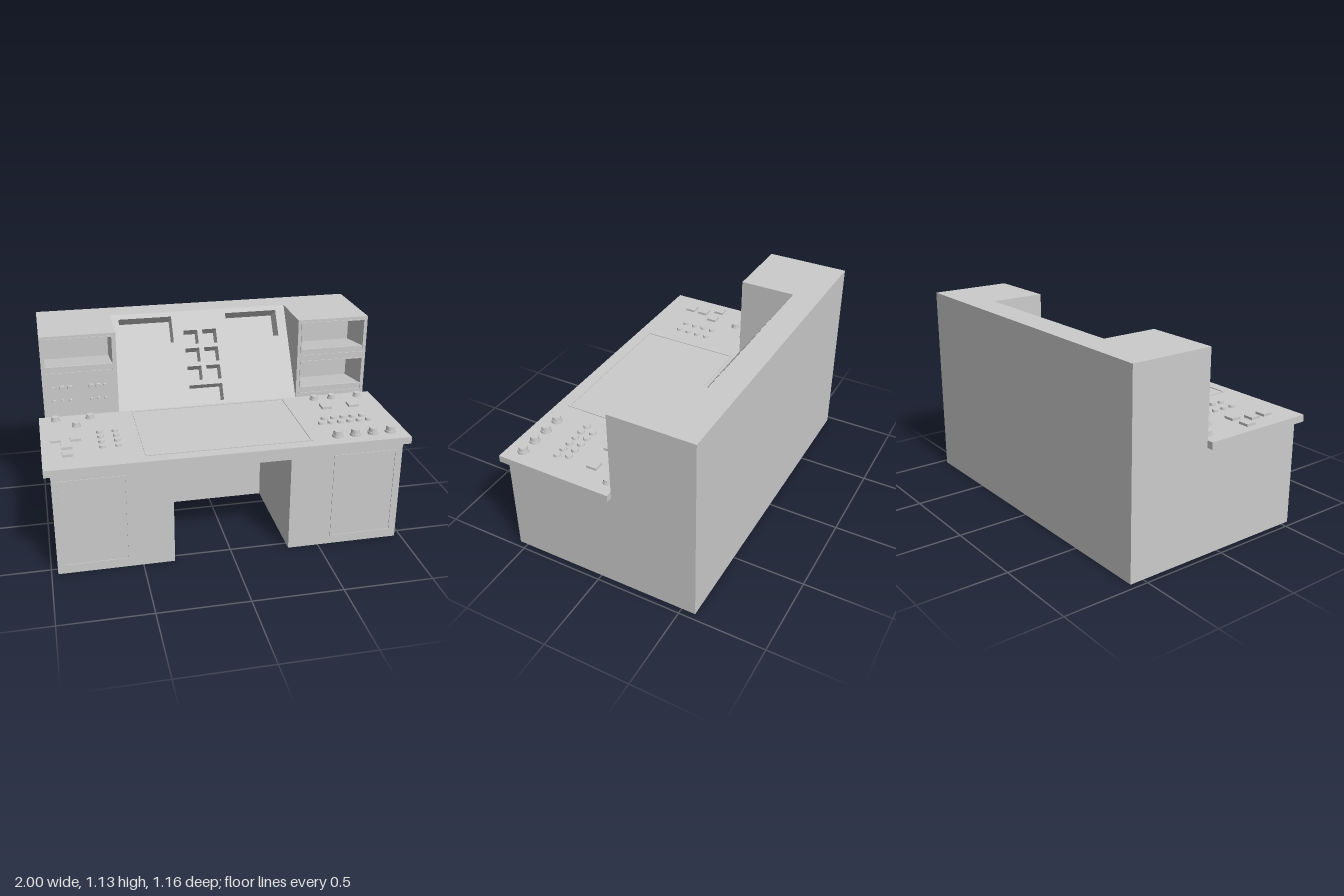
import * as THREE from 'three';

const grey = new THREE.MeshStandardMaterial({ color: 0xcccccc, flatShading: true });
const greyOpen = new THREE.MeshStandardMaterial({ color: 0xcccccc, flatShading: true, side: THREE.DoubleSide });

function add(parent, name, geo, mat = grey) {
  const m = new THREE.Mesh(geo, mat);
  m.name = name;
  parent.add(m);
  return m;
}

// Box given by its limits on each axis
function block(parent, name, x0, x1, y0, y1, z0, z1) {
  const m = add(parent, name, new THREE.BoxGeometry(x1 - x0, y1 - y0, z1 - z0));
  m.position.set((x0 + x1) / 2, (y0 + y1) / 2, (z0 + z1) / 2);
  return m;
}

function polygon(pts) {
  return new THREE.Shape(pts.map(([x, y]) => new THREE.Vector2(x, y)));
}

// Rectangle [x0, x1, y0, y1] with rectangular holes
function plate(rect, holes, depth) {
  const corners = ([x0, x1, y0, y1]) => [[x0, y0], [x1, y0], [x1, y1], [x0, y1]];
  const s = polygon(corners(rect));
  s.holes = holes.map(h => polygon(corners(h).reverse()));
  return new THREE.ExtrudeGeometry(s, { depth, bevelEnabled: false });
}

// Thin raised border around a rectangle
function border([x0, x1, y0, y1], w, depth) {
  return plate([x0, x1, y0, y1], [[x0 + w, x1 - w, y0 + w, y1 - w]], depth);
}

// Footprint outline in (x, z), raised by height
function footprint(pts, height) {
  const g = new THREE.ExtrudeGeometry(polygon(pts.map(([x, z]) => [x, -z])), { depth: height, bevelEnabled: false });
  return g.rotateX(-Math.PI / 2);
}

// Box open at the front, its back lowered by drop
function recess(parent, name, [x0, x1, y0, y1], depth, drop = 0) {
  const g = new THREE.BoxGeometry(x1 - x0, y1 - y0, depth);
  const idx = Array.from(g.index.array);
  idx.splice(24, 6);
  g.setIndex(idx);
  g.clearGroups();
  g.translate((x0 + x1) / 2, (y0 + y1) / 2, -depth / 2);
  const p = g.attributes.position;
  for (let i = 0; i < p.count; i++) if (p.getZ(i) < -depth / 2) p.setY(i, p.getY(i) - drop);
  g.computeVertexNormals();
  return add(parent, name, g, greyOpen);
}

const W = 0.965, BACK = -0.58, FRONT = 0.55, FACE = -0.095, TOP = 1.13;
const DESK0 = 0.605, DESK = 0.645, IN = 0.537;

function buildBase(root) {
  const g = new THREE.Group();
  g.name = 'base';
  root.add(g);
  // Two pedestals joined behind the kneehole
  add(g, 'pedestals', footprint([[-W, FRONT], [-0.325, FRONT], [-0.325, -0.1], [0.325, -0.1],
    [0.325, FRONT], [W, FRONT], [W, BACK], [-W, BACK]], 0.56));
  block(g, 'upperRail', -W, W, 0.56, DESK0, BACK, FRONT);
  for (const s of [-1, 1]) {
    const x = s * 0.752;
    add(g, 'doorBorder', border([x - 0.183, x + 0.183, 0.043, 0.562], 0.012, 0.004)).position.z = FRONT;
  }
}

function buildTower(root, side) {
  const g = new THREE.Group();
  g.name = side < 0 ? 'rightTower' : 'leftTower';
  root.add(g);
  const lo = side < 0 ? -W : IN, hi = side < 0 ? -IN : W;
  const x0 = side * 0.752 - 0.19, x1 = side * 0.752 + 0.19;
  const bays = side < 0 ? [0.912] : [0.912, 0.672];
  const opening = y => [x0, x1, y + 0.036, y + 0.197];
  add(g, 'towerFace', plate([lo, hi, DESK0, TOP], bays.map(opening), 0.01)).position.z = FACE - 0.01;
  for (const y of bays) {
    recess(g, 'bay', opening(y), 0.26, 0.042).position.z = FACE;
    add(g, 'bayBorder', border([x0 - 0.006, x1 + 0.006, y - 0.006, y + 0.203], 0.006, 0.005)).position.z = FACE;
  }
  // Outer and inner walls
  const wall = (name, x) => block(g, name, x - 0.005, x + 0.005, DESK0, TOP, BACK, FACE);
  wall('outerWall', side * (W - 0.005));
  wall('innerWall', side * (IN + 0.005));
}

function buildSlope(root) {
  const rise = TOP - DESK, run = 0.32, angle = Math.atan2(run, rise), c = Math.cos(angle);
  const g = new THREE.Group();
  g.name = 'slopedPanel';
  g.position.set(0, DESK, -0.1);
  g.rotation.x = -angle;
  root.add(g);
  const onSlope = (x0, x1, y0, y1) => [x0, x1, (y0 - DESK) / c, (y1 - DESK) / c];
  const windows = [onSlope(-0.487, -0.17, 0.97, 1.105), onSlope(0.163, 0.48, 0.97, 1.105)];
  const slots = [onSlope(-0.105, 0.095, 0.66, 0.745)];
  for (const y of [0.77, 0.863, 0.956])
    for (const x of [-0.105, 0.01]) slots.push(onSlope(x, x + 0.085, y, y + 0.072));
  add(g, 'slopeFace', plate([-IN, IN, -0.01, rise / c], [...windows, ...slots], 0.003)).position.z = -0.003;
  windows.forEach(r => recess(g, 'window', r, 0.118));
  slots.forEach(r => recess(g, 'slot', r, 0.1));
}

function roundKnob(parent, name, x, z, r, h) {
  const g = new THREE.Group();
  g.name = name;
  g.position.set(x, DESK, z);
  parent.add(g);
  const base = h * 0.35;
  add(g, 'knobBase', new THREE.CylinderGeometry(r * 0.95, r, base, 16)).position.y = base / 2;
  add(g, 'knobCap', new THREE.CylinderGeometry(r * 0.75, r * 0.82, h - base, 16)).position.y = (h + base) / 2;
  return g;
}

function buildDesk(root) {
  const g = new THREE.Group();
  g.name = 'desk';
  root.add(g);
  block(g, 'desktop', -1, 1, DESK0, DESK, FACE, 0.58);
  // Large inset surface, marked by a thin border
  const b = add(g, 'surfaceBorder', border([-0.465, 0.455, -0.515, 0.08], 0.011, 0.004));
  b.rotation.x = -Math.PI / 2;
  b.position.y = DESK;

  for (const [x, z] of [[-0.907, -0.04], [-0.71, -0.04], [-0.795, 0.057], [0.635, -0.04], [0.745, -0.04], [0.908, -0.04]])
    roundKnob(g, 'smallKnob', x, z, 0.026, 0.024);
  for (const x of [0.603, 0.705, 0.808, 0.91]) roundKnob(g, 'largeKnob', x, 0.487, 0.031, 0.036);

  for (const [x, z] of [[-0.92, 0.23], [-0.812, 0.23], [-0.864, 0.322], [-0.864, 0.412], [0.666, 0.09], [0.832, 0.09]])
    block(g, 'squareKey', x - 0.03, x + 0.03, DESK, DESK + 0.014, z - 0.03, z + 0.03);

  const button = (x, z, r) => add(g, 'roundButton', new THREE.CylinderGeometry(r * 0.88, r, 0.014, 16))
    .position.set(x, DESK + 0.007, z);
  for (const x of [-0.676, -0.59]) for (let i = 0; i < 4; i++) button(x, 0.17 + i * 0.063, 0.018);
  for (let i = 0; i < 5; i++) button(0.604 + i * 0.0565, 0.25, 0.021);
  for (let i = 0; i < 6; i++) button(0.568 + i * 0.0565, 0.31, 0.021);
}

export function createModel() {
  const root = new THREE.Group();
  root.name = 'controlDesk';
  buildBase(root);
  buildDesk(root);
  buildTower(root, -1);
  buildTower(root, 1);
  buildSlope(root);
  // Back wall and notched top
  block(root, 'backWall', -W, W, DESK0, TOP, BACK, BACK + 0.02);
  add(root, 'cabinetTop', footprint([[-W, FACE], [-IN, FACE], [-IN, -0.42], [IN, -0.42],
    [IN, FACE], [W, FACE], [W, BACK], [-W, BACK]], 0.008)).position.y = TOP - 0.008;
  // Small dials on the tower face
  for (const y of [0.82, 0.74]) {
    [-0.905, -0.855, -0.81, -0.69, -0.65, -0.61].forEach((x, i) => {
      const r = y > 0.8 && i % 5 && i !== 2 + 3 ? 0.016 : 0.011;
      const d = add(root, 'dial', new THREE.CylinderGeometry(r * 0.85, r, 0.013, 12).rotateX(Math.PI / 2));
      d.position.set(x, y, FACE + 0.0065);
    });
  }
  return root;
}
